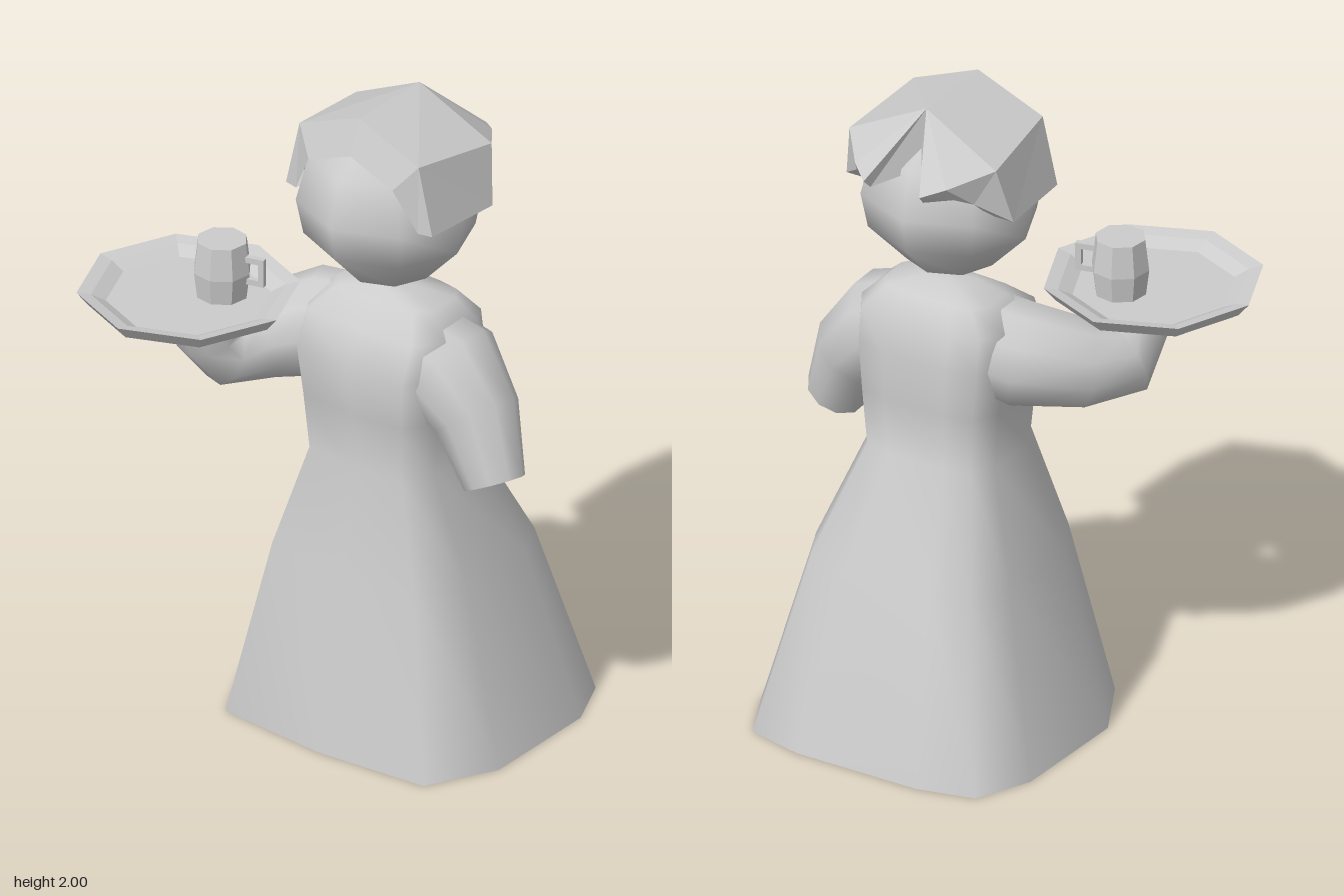
import * as THREE from 'three';

const CX = 0.155; // the figure stands to one side of the tray

const material = (flat = false) => new THREE.MeshStandardMaterial({
  color: 0xcccccc, flatShading: flat, side: THREE.DoubleSide,
});

function part(name, geometry, flat = false) {
  const mesh = new THREE.Mesh(geometry, material(flat));
  mesh.name = name;
  return mesh;
}

// Skin a list of closed rings, each running counterclockwise about the path
function loft(rings) {
  const n = rings[0].length, index = [];
  for (let i = 0; i < rings.length - 1; i++) {
    for (let j = 0; j < n; j++) {
      const a = i * n + j, b = i * n + (j + 1) % n;
      index.push(a, b, a + n, b, b + n, a + n);
    }
  }
  const g = new THREE.BufferGeometry().setFromPoints(rings.flat());
  g.setIndex(index);
  g.computeVertexNormals();
  return g;
}

// Sleeve: round sections [x, y, z, radius] along a bent path, closed flat at the cuff
function sleeve(sections, sides = 10) {
  const pts = sections.map(s => new THREE.Vector3(s[0], s[1], s[2]));
  const n = new THREE.Vector3(0, 0, 1);
  const rings = pts.map((p, i) => {
    const t = pts[Math.min(i + 1, pts.length - 1)].clone().sub(pts[Math.max(i - 1, 0)]).normalize();
    n.addScaledVector(t, -n.dot(t)).normalize();
    const b = t.clone().cross(n);
    return Array.from({ length: sides }, (_, j) => {
      const a = j / sides * Math.PI * 2, r = sections[i][3];
      return p.clone().addScaledVector(n, r * Math.cos(a)).addScaledVector(b, r * Math.sin(a));
    });
  });
  const end = rings[rings.length - 1];
  rings.push(end.map(p => p.clone()), end.map(() => pts[pts.length - 1].clone()));
  return loft(rings);
}

// Dress: one rounded outline scaled to each height [y, halfWidth, zFront, zBack]
function dress() {
  const half = [[0.77, 0.93], [1, 0.43], [0.97, -0.5], [0.8, -0.9], [0.43, -1]];
  const outline = [[0, 1], ...half, ...half.map(([u, v]) => [-u, v]).reverse()];
  const rows = [
    [0, 0.475, 0.26, -0.59], [0.55, 0.34, 0.165, -0.43], [0.87, 0.22, 0.1, -0.27],
    [1.05, 0.235, 0.115, -0.28], [1.2, 0.25, 0.13, -0.28], [1.31, 0.25, 0.08, -0.26],
    [1.375, 0.18, 0, -0.21], [1.4, 0.08, -0.04, -0.13], [1.402, 0, -0.08, -0.08],
  ];
  return loft(rows.map(([y, w, f, b]) => outline.map(([u, v]) =>
    new THREE.Vector3(CX + u * w, y, (f + b) / 2 + v * (f - b) / 2))));
}

// Hair: faceted half, mirrored about the parting
function hair() {
  const P = {
    R0: [0, 2, 0.07], R1: [0, 2, -0.21],                                // parting
    E0: [0.22, 1.91, 0.07], E1: [0.25, 1.875, -0.23], E2: [0.155, 1.84, -0.35],
    T: [0.095, 1.82, -0.4],                                             // back tip
    B0: [0.27, 1.7, 0.07], B1: [0.285, 1.7, -0.19], B2: [0.2, 1.7, -0.19],
    I0: [0, 1.89, 0.11], I1: [0.155, 1.83, 0.11], I2: [0.225, 1.7, 0.08], // fringe
    L0: [0.09, 1.79, -0.37], L1: [0.155, 1.79, -0.31], L2: [0.2, 1.77, -0.27],
    M: [0, 1.82, -0.25],                                                // notch
  };
  const faces = [
    'R1 R0 E0 E1 E2 T', 'E0 B0 B1 E1', 'R0 I0 I1 E0', 'E0 I1 I2 B0', 'R1 T L0 M',
    'T E2 L1 L0', 'E2 E1 L2 L1', 'E1 B1 L2', 'M L0 L1 L2', 'B0 I2 B2 B1', 'B1 B2 L2',
  ].map(f => f.split(' '));
  const pos = [];
  for (const s of [1, -1]) {
    for (const f of faces) {
      for (let i = 1; i < f.length - 1; i++) {
        const tri = s > 0 ? [f[0], f[i], f[i + 1]] : [f[0], f[i + 1], f[i]];
        for (const k of tri) pos.push(CX + s * P[k][0], P[k][1], P[k][2]);
      }
    }
  }
  const g = new THREE.BufferGeometry();
  g.setAttribute('position', new THREE.Float32BufferAttribute(pos, 3));
  g.computeVertexNormals();
  return g;
}

const lathe = (profile, sides = 8) =>
  new THREE.LatheGeometry(profile.map(p => new THREE.Vector2(...p)), sides);

export function createModel() {
  const model = new THREE.Group();
  model.name = 'servingFigure';

  // Dress and sleeves
  model.add(part('dress', dress()));
  model.add(part('leftArm', sleeve([
    [0.22, 1.23, -0.08, 0.155], [0.36, 1.18, -0.09, 0.165],
    [0.47, 1.07, -0.08, 0.13], [0.56, 0.89, -0.05, 0.092],
  ])));
  model.add(part('rightArm', sleeve([
    [0.08, 1.22, -0.08, 0.155], [-0.08, 1.2, -0.07, 0.16], [-0.22, 1.16, 0.04, 0.135],
    [-0.285, 1.14, 0.15, 0.115], [-0.285, 1.22, 0.22, 0.1], [-0.28, 1.31, 0.24, 0.085],
  ])));

  // Head and hair
  const head = part('head', lathe([
    [0, 1.46], [0.135, 1.46], [0.25, 1.58], [0.272, 1.69], [0.235, 1.83], [0.13, 1.91], [0, 1.93],
  ]));
  head.position.set(CX, 0, -0.07);
  model.add(head, part('hair', hair(), true));

  // Octagonal tray with a raised rim
  const tray = part('tray', lathe([
    [0, 1.325], [0.29, 1.325], [0.325, 1.368], [0.283, 1.36], [0.24, 1.338], [0, 1.338],
  ]), true);
  tray.position.set(-0.32, 0, 0.265);
  model.add(tray);

  // Mug with a squared handle
  const mug = new THREE.Group();
  mug.name = 'mug';
  mug.position.set(-0.255, 1.338, 0.19);
  mug.rotation.y = 0.25;
  mug.add(part('cup', lathe([[0, 0], [0.077, 0], [0.087, 0.08], [0.075, 0.178], [0, 0.178]]), true));
  for (const [x, y, w, h] of [[0.1, 0.13, 0.07, 0.018], [0.1, 0.06, 0.07, 0.018], [0.126, 0.095, 0.018, 0.088]]) {
    const bar = part('handle', new THREE.BoxGeometry(w, h, 0.018), true);
    bar.position.set(x, y, 0);
    mug.add(bar);
  }
  model.add(mug);
  return model;
}
